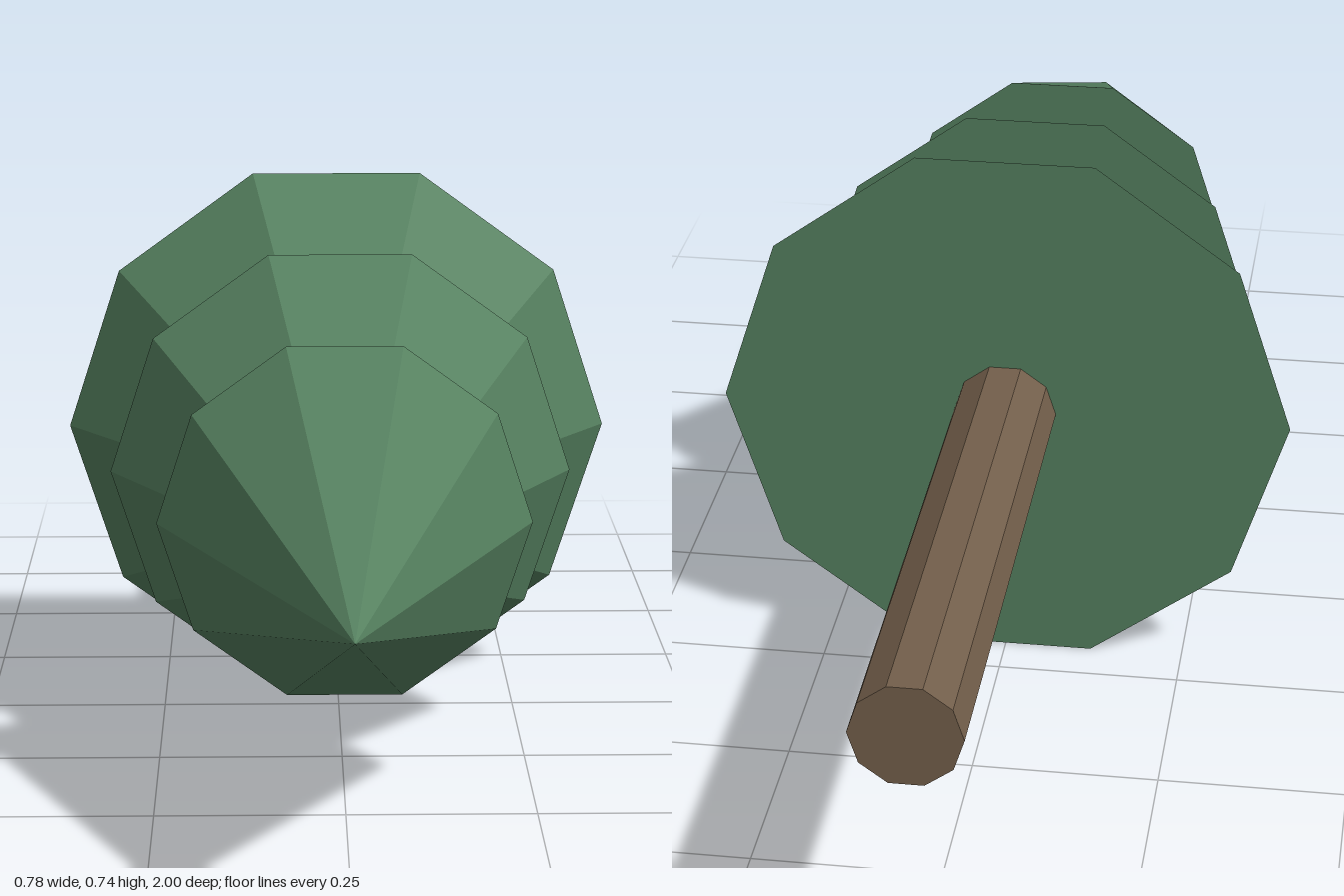
import * as THREE from 'three';

const SIDES = 10;
const AXIS_Y = 0.372;
const CONE_LENGTH = 0.58;

const needleGreen = new THREE.MeshStandardMaterial({ color: 0x55805f });
needleGreen.name = 'needleGreen';
const barkBrown = new THREE.MeshStandardMaterial({ color: 0x735f4b });
barkBrown.name = 'barkBrown';

// Faceted frustum lying along z, from zBack to zFront, with corners on +x and -x
function frustum(name, rFront, rBack, zBack, zFront, material) {
  const geometry = new THREE.CylinderGeometry(
    rFront, rBack, zFront - zBack, SIDES, 1, false, Math.PI / 2
  ).rotateX(Math.PI / 2).toNonIndexed();
  geometry.computeVertexNormals(); // flat facets
  const mesh = new THREE.Mesh(geometry, material);
  mesh.name = name;
  mesh.position.set(0, AXIS_Y, (zBack + zFront) / 2);
  return mesh;
}

export function createModel() {
  const tree = new THREE.Group();
  tree.name = 'lyingPineTree';

  // Trunk
  tree.add(frustum('trunk', 0.07, 0.07, -1, -0.18, barkBrown));

  // Three overlapping foliage cones, widest next to the trunk
  const tiers = [
    ['lowerFoliage', 0.391, -0.185],
    ['middleFoliage', 0.318, 0.117],
    ['upperFoliage', 0.245, 0.42],
  ];
  for (const [name, radius, zBase] of tiers) {
    tree.add(frustum(name, 0, radius, zBase, zBase + CONE_LENGTH, needleGreen));
  }

  return tree;
}
